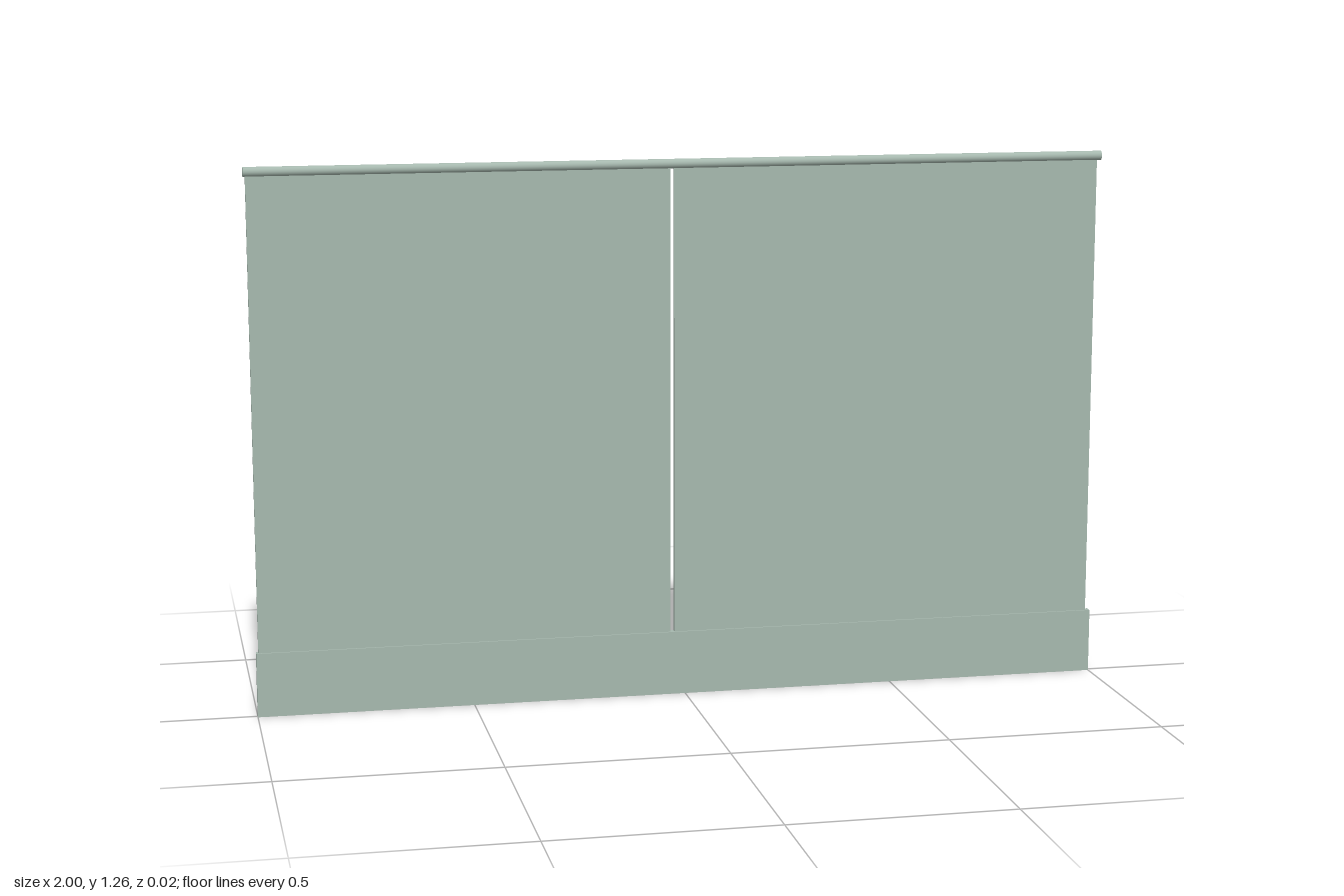
import * as THREE from 'three';

export function createModel() {
  const group = new THREE.Group();
  group.name = 'glassBalustrade';
  const material = new THREE.MeshStandardMaterial({ color: 0xa6b8ae });

  const add = (name, geometry, x, y) => {
    const mesh = new THREE.Mesh(geometry, material);
    mesh.name = name;
    mesh.position.set(x, y, 0);
    group.add(mesh);
    return mesh;
  };

  // Base channel that clamps the panes
  const baseTop = 0.15;
  add('baseChannel', new THREE.BoxGeometry(2, baseTop, 0.018), 0, baseTop / 2);

  // Two upright panes with a narrow gap between them
  const paneTop = 1.245;
  for (const [name, x0, x1] of [
    ['rightPane', -0.995, -0.034],
    ['leftPane', -0.025, 0.99],
  ]) {
    const height = paneTop - baseTop + 0.02;
    add(name, new THREE.BoxGeometry(x1 - x0, height, 0.009), (x0 + x1) / 2, paneTop - height / 2);
  }

  // Round handrail along the top
  const rail = add('handrail', new THREE.CylinderGeometry(0.011, 0.011, 2, 16), 0, 1.25);
  rail.rotation.z = Math.PI / 2;

  return group;
}
